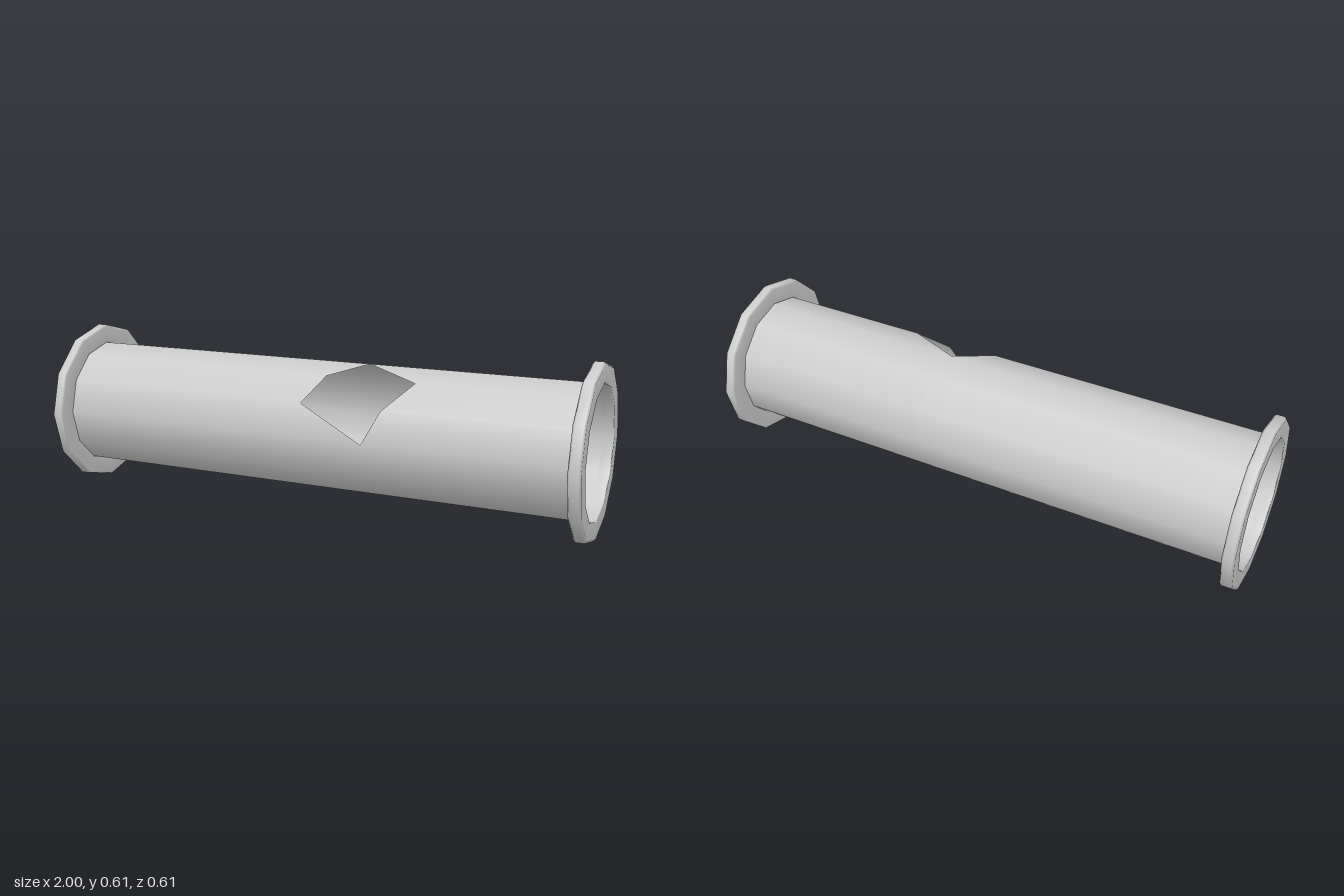
import * as THREE from 'three';

const SIDES = 12;
const BORE = 0.2355;   // tube radius
const RIM = 0.306;     // flange radius
const CENTRE_Y = 0.307;

// Thin tube wall with a jagged hole in its upper front
function tubeGeometry(halfLength) {
  // [start, end] of the hole along x at each corner line, from front (0) up to top (3)
  const gaps = [[0.24, 0.24], [0, 0.3], [0.06, 0.39], [0.176, 0.176]];
  const position = [], normal = [], index = [];
  for (let i = 0; i <= SIDES; i++) {
    const angle = (i / SIDES) * Math.PI * 2;
    const s = Math.sin(angle), c = Math.cos(angle);
    const [a, b] = gaps[i % SIDES] ?? [0.2, 0.2];
    for (const x of [-halfLength, a, b, halfLength]) {
      position.push(x, BORE * s, BORE * c);
      normal.push(0, s, c);
    }
    if (i === SIDES) break;
    // one quad on each side of the hole
    for (const k of [0, 2]) {
      const p = i * 4 + k, q = p + 4;
      index.push(p, p + 1, q + 1, p, q + 1, q);
    }
  }
  const geometry = new THREE.BufferGeometry();
  geometry.setAttribute('position', new THREE.Float32BufferAttribute(position, 3));
  geometry.setAttribute('normal', new THREE.Float32BufferAttribute(normal, 3));
  geometry.setIndex(index);
  return geometry;
}

// Twelve-sided collar with softened edges, closed profile turned about x
function flangeGeometry() {
  const h = 0.0215, e = 0.007;
  const profile = [
    [BORE, 0], [BORE, -h + e / 2], [BORE + e / 2, -h],
    [RIM - e, -h], [RIM, -h + e], [RIM, h - e], [RIM - e, h],
    [BORE + e / 2, h], [BORE, h - e / 2], [BORE, 0],
  ].map(([r, y]) => new THREE.Vector2(r, y));
  return new THREE.LatheGeometry(profile, SIDES).rotateZ(-Math.PI / 2);
}

export function createModel() {
  const group = new THREE.Group();
  group.name = 'brokenPipe';
  const material = new THREE.MeshStandardMaterial({ color: 0xcccccc, side: THREE.DoubleSide });

  const tube = new THREE.Mesh(tubeGeometry(0.98), material);
  tube.name = 'pipeWall';
  tube.position.y = CENTRE_Y;
  group.add(tube);

  // Matching collars at both ends
  const collar = flangeGeometry();
  for (const side of [-1, 1]) {
    const flange = new THREE.Mesh(collar, material);
    flange.name = side > 0 ? 'leftFlange' : 'rightFlange';
    flange.position.set(side * 0.9785, CENTRE_Y, 0);
    group.add(flange);
  }
  return group;
}
